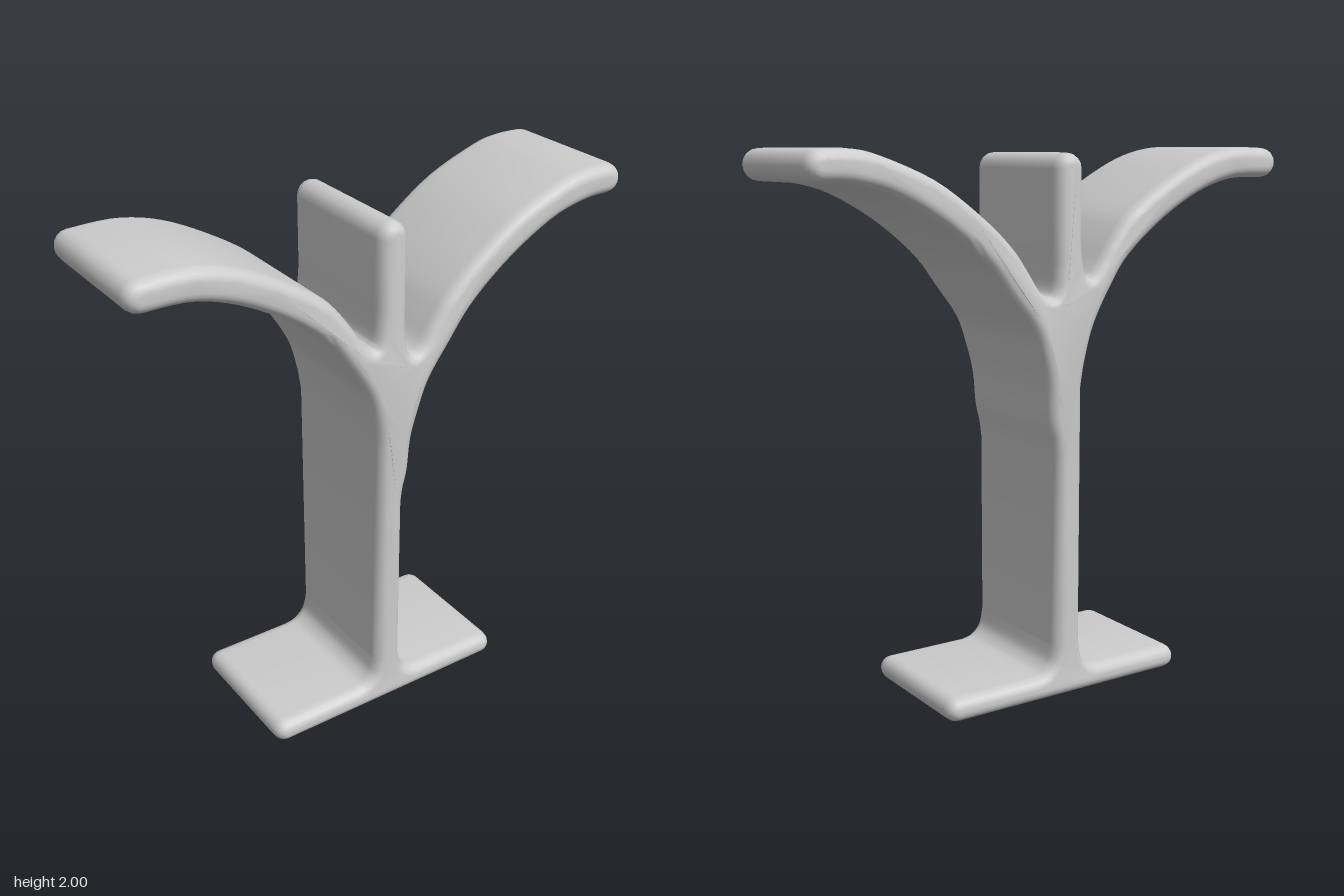
import * as THREE from 'three';
import { toCreasedNormals } from 'three/addons/utils/BufferGeometryUtils.js';

const HALF_DEPTH = 0.28;
const EDGE = 0.05; // rounding along z
const INSET = 0.038; // rounding within the outline

// Front outline, counter-clockwise: base, post, left arm, post top, right arm
function bodyOutline() {
  const s = new THREE.Shape();
  const curve = (pts) => s.splineThru(pts.map(([x, y]) => new THREE.Vector2(x, y)));
  const up = Math.PI / 2;

  // Base and its fillet into the post
  s.moveTo(-0.48, 0);
  s.lineTo(0.455, 0);
  s.absarc(0.455, 0.045, 0.045, -up, up, false);
  s.lineTo(0.13, 0.09);
  curve([[0.09, 0.1], [0.055, 0.135], [0.04, 0.2]]);
  s.lineTo(0.04, 0.9);

  // Arm on +x: underside, rounded tip, upper side down to the crotch
  curve([[0.048, 0.96], [0.065, 1.035], [0.075, 1.155], [0.1, 1.26], [0.14, 1.37], [0.23, 1.49],
    [0.33, 1.615], [0.49, 1.745], [0.67, 1.845], [0.82, 1.885], [0.925, 1.89]]);
  s.absarc(0.925, 1.945, 0.055, -up, up, false);
  curve([[0.83, 2.0], [0.72, 1.98], [0.51, 1.895], [0.33, 1.77], [0.22, 1.67], [0.16, 1.59],
    [0.11, 1.515], [0.07, 1.49], [0.048, 1.52], [0.04, 1.6]]);

  // Upright top
  s.lineTo(0.04, 1.93);
  s.absarc(-0.015, 1.93, 0.055, 0, Math.PI, false);
  s.lineTo(-0.07, 1.67);

  // Arm on -x: crotch, upper side, rounded tip, underside
  curve([[-0.08, 1.575], [-0.1, 1.553], [-0.14, 1.595], [-0.2, 1.685], [-0.28, 1.775],
    [-0.43, 1.875], [-0.6, 1.96], [-0.76, 2.0], [-0.925, 2.0]]);
  s.absarc(-0.925, 1.945, 0.055, up, 3 * up, false);
  curve([[-0.76, 1.885], [-0.6, 1.835], [-0.43, 1.74], [-0.28, 1.62], [-0.2, 1.515],
    [-0.12, 1.38], [-0.085, 1.26], [-0.07, 1.16]]);

  // Post down to the base
  s.lineTo(-0.07, 0.2);
  curve([[-0.085, 0.135], [-0.12, 0.1], [-0.16, 0.09]]);
  s.lineTo(-0.48, 0.09);
  s.absarc(-0.48, 0.045, 0.045, up, 3 * up, false);
  return s;
}

export function createModel() {
  const group = new THREE.Group();
  group.name = 'branchedStand';
  const grey = new THREE.MeshStandardMaterial({ color: 0xcccccc });
  grey.name = 'light grey';

  const geo = new THREE.ExtrudeGeometry(bodyOutline(), {
    depth: 2 * (HALF_DEPTH - EDGE),
    curveSegments: 4,
    bevelEnabled: true,
    bevelThickness: EDGE,
    bevelSize: INSET,
    bevelOffset: -INSET,
    bevelSegments: 5,
  });
  geo.translate(0, 0, -(HALF_DEPTH - EDGE));

  // Slight swelling in depth where the arms join the post
  const p = geo.attributes.position;
  for (let i = 0; i < p.count; i++) {
    const dx = p.getX(i) / 0.2;
    const dy = (p.getY(i) - 1.38) / 0.18;
    p.setZ(i, p.getZ(i) * (1 + 0.045 * Math.exp(-dx * dx - dy * dy)));
  }

  const body = new THREE.Mesh(toCreasedNormals(geo, 0.9), grey);
  body.name = 'standBody';
  group.add(body);
  return group;
}
